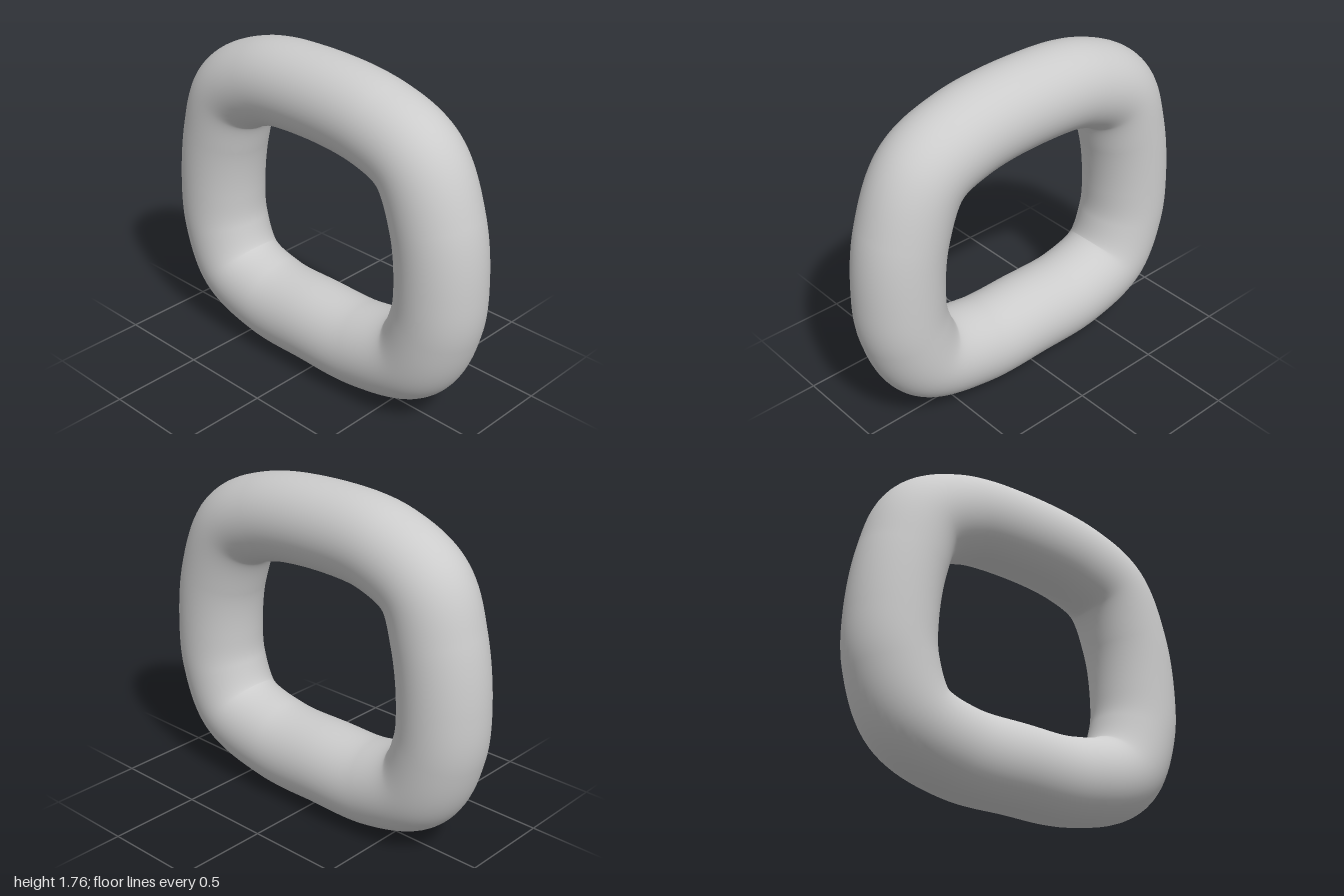
import * as THREE from 'three';

export function createModel() {
  const group = new THREE.Group();
  group.name = 'roundedRing';

  // Centre line of the ring: a rounded, slightly uneven four-sided loop
  const loop = [
    [-0.07, 1.53], [-0.40, 1.495], [-0.635, 1.37], [-0.728, 1.13],
    [-0.772, 0.82], [-0.758, 0.58], [-0.648, 0.34], [-0.38, 0.238],
    [-0.04, 0.228], [0.31, 0.236], [0.635, 0.34], [0.752, 0.58],
    [0.77, 0.80], [0.73, 1.10], [0.60, 1.38], [0.36, 1.49],
  ].map(([x, y]) => new THREE.Vector3(x, y, 0));
  const path = new THREE.CatmullRomCurve3(loop, true, 'centripetal');

  // Round tube swept along the closed loop
  const ring = new THREE.Mesh(
    new THREE.TubeGeometry(path, 200, 0.228, 48, true),
    new THREE.MeshStandardMaterial({ color: 0xcccccc })
  );
  ring.name = 'ring';
  group.add(ring);
  return group;
}
